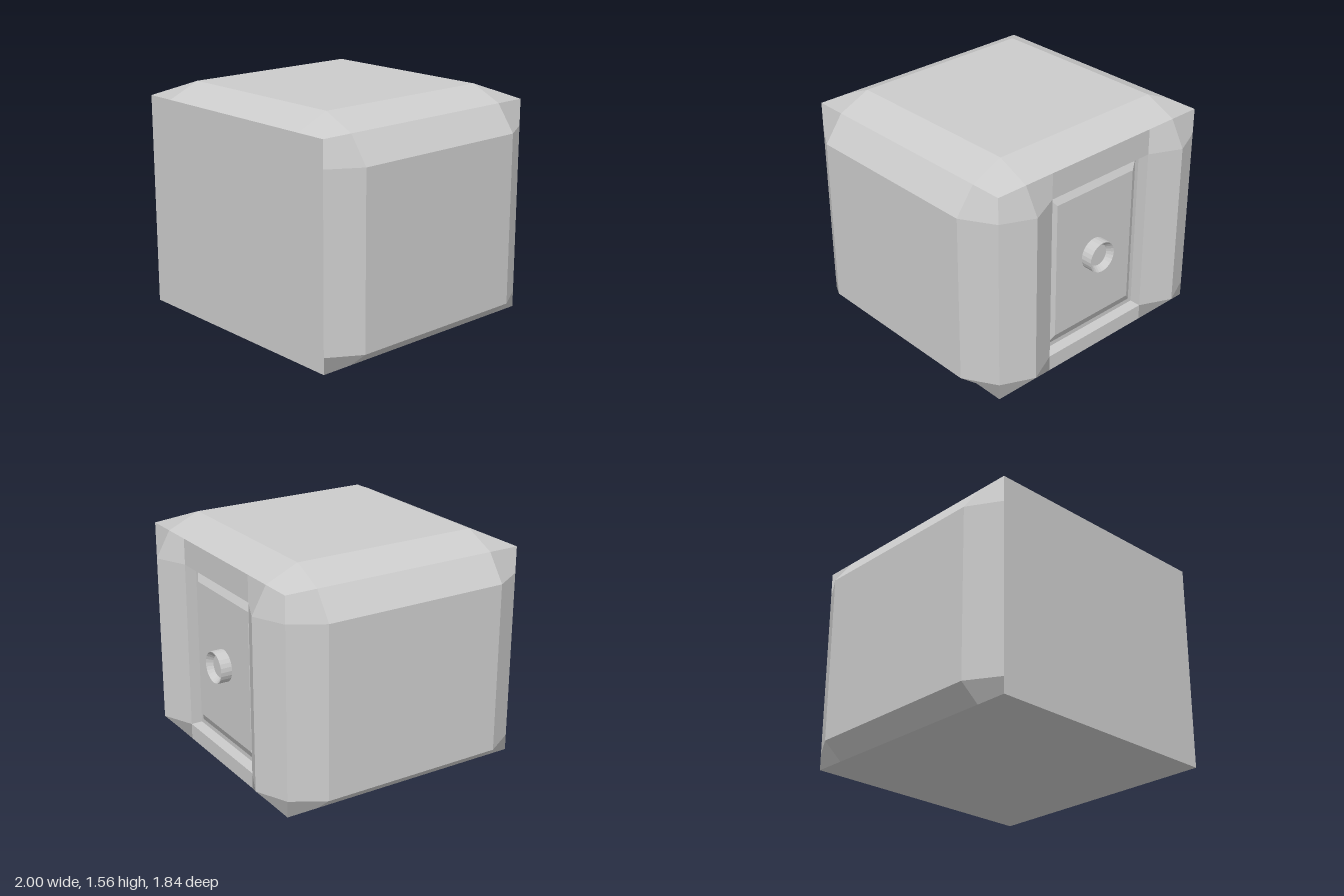
import * as THREE from 'three';

const material = new THREE.MeshStandardMaterial({ color: 0xcccccc });

// Mesh from quads [a, b, c, d] (counter-clockwise), one normal per quad
function quadMesh(name, quads) {
  const positions = [], normals = [];
  for (const [a, b, c, d] of quads) {
    const n = c.clone().sub(a).cross(d.clone().sub(b)).normalize();
    for (const p of [a, b, c, a, c, d]) {
      positions.push(p.x, p.y, p.z);
      normals.push(n.x, n.y, n.z);
    }
  }
  const geometry = new THREE.BufferGeometry();
  geometry.setAttribute('position', new THREE.Float32BufferAttribute(positions, 3));
  geometry.setAttribute('normal', new THREE.Float32BufferAttribute(normals, 3));
  const mesh = new THREE.Mesh(geometry, material);
  mesh.name = name;
  return mesh;
}

// Grid panel; the inner grid points are raised by the place function
function panel(name, us, vs, place) {
  const point = (i, j) => {
    const inner = i > 0 && j > 0 && i < us.length - 1 && j < vs.length - 1;
    return new THREE.Vector3(...place(us[i], vs[j], inner));
  };
  const quads = [];
  for (let i = 0; i < us.length - 1; i++) {
    for (let j = 0; j < vs.length - 1; j++) {
      quads.push([point(i, j), point(i + 1, j), point(i + 1, j + 1), point(i, j + 1)]);
    }
  }
  return quadMesh(name, quads);
}

export function createModel() {
  const model = new THREE.Group();
  model.name = 'block';

  const X = 0.87, FRONT = 0.92, BACK = -0.82, TOP = 1.46;
  const rows = [0, 0.11, 1.28, TOP];
  const depths = [FRONT, 0.7, -0.6, BACK];

  // Flat front and base
  model.add(panel('frontFace', [-X, X], [0, TOP], (x, y) => [x, y, FRONT]));
  model.add(panel('base', [-X, X], [BACK, FRONT], (x, z) => [x, 0, z]));

  // Bevelled top and sides
  model.add(panel('top', [-X, -0.65, 0.65, X], depths,
    (x, z, inner) => [x, inner ? 1.56 : TOP, z]));
  model.add(panel('leftSide', depths, rows,
    (z, y, inner) => [inner ? 1 : X, y, z]));
  model.add(panel('rightSide', [...depths].reverse(), rows,
    (z, y, inner) => [inner ? -1 : -X, y, z]));

  // Ridged back posts
  const W = 0.43;
  const post = (x, y, inner) => [x, y, inner ? -0.92 : BACK];
  model.add(panel('leftBackPost', [X, 0.65, W], rows, post));
  model.add(panel('rightBackPost', [-W, -0.65, -X], rows, post));

  // Strips above and below the recess
  const flatBack = (x, y) => [x, y, BACK];
  model.add(panel('sill', [W, -W], [0, 0.11], flatBack));
  model.add(panel('lintel', [W, -W], [1.28, TOP], flatBack));

  // Recess walls, floor and raised door panel as nested rectangles
  const rings = [
    [W, 0.11, 1.28, BACK],
    [W, 0.11, 1.28, -0.74],
    [0.4, 0.14, 1.25, -0.74],
    [0.34, 0.21, 1.18, -0.775],
  ].map(([w, y0, y1, z]) => [[w, y0], [-w, y0], [-w, y1], [w, y1]]
    .map(([x, y]) => new THREE.Vector3(x, y, z)));
  const bridge = (a, b) => a.map((p, i) => [p, a[(i + 1) % 4], b[(i + 1) % 4], b[i]]);
  model.add(quadMesh('recess', [...bridge(rings[0], rings[1]), ...bridge(rings[1], rings[2])]));
  model.add(quadMesh('doorPanel', [...bridge(rings[2], rings[3]), rings[3]]));

  // Round knob with a dished face
  const profile = [[0.11, 0], [0.11, 0.085], [0.105, 0.085], [0.075, 0.045], [0, 0.045]]
    .map(([r, h]) => new THREE.Vector2(r, h));
  const knobGeometry = new THREE.LatheGeometry(profile, 24).toNonIndexed();
  knobGeometry.computeVertexNormals();
  const knob = new THREE.Mesh(knobGeometry, material);
  knob.name = 'knob';
  knob.rotation.x = -Math.PI / 2;
  knob.position.set(0, 0.7, -0.77);
  model.add(knob);

  return model;
}
